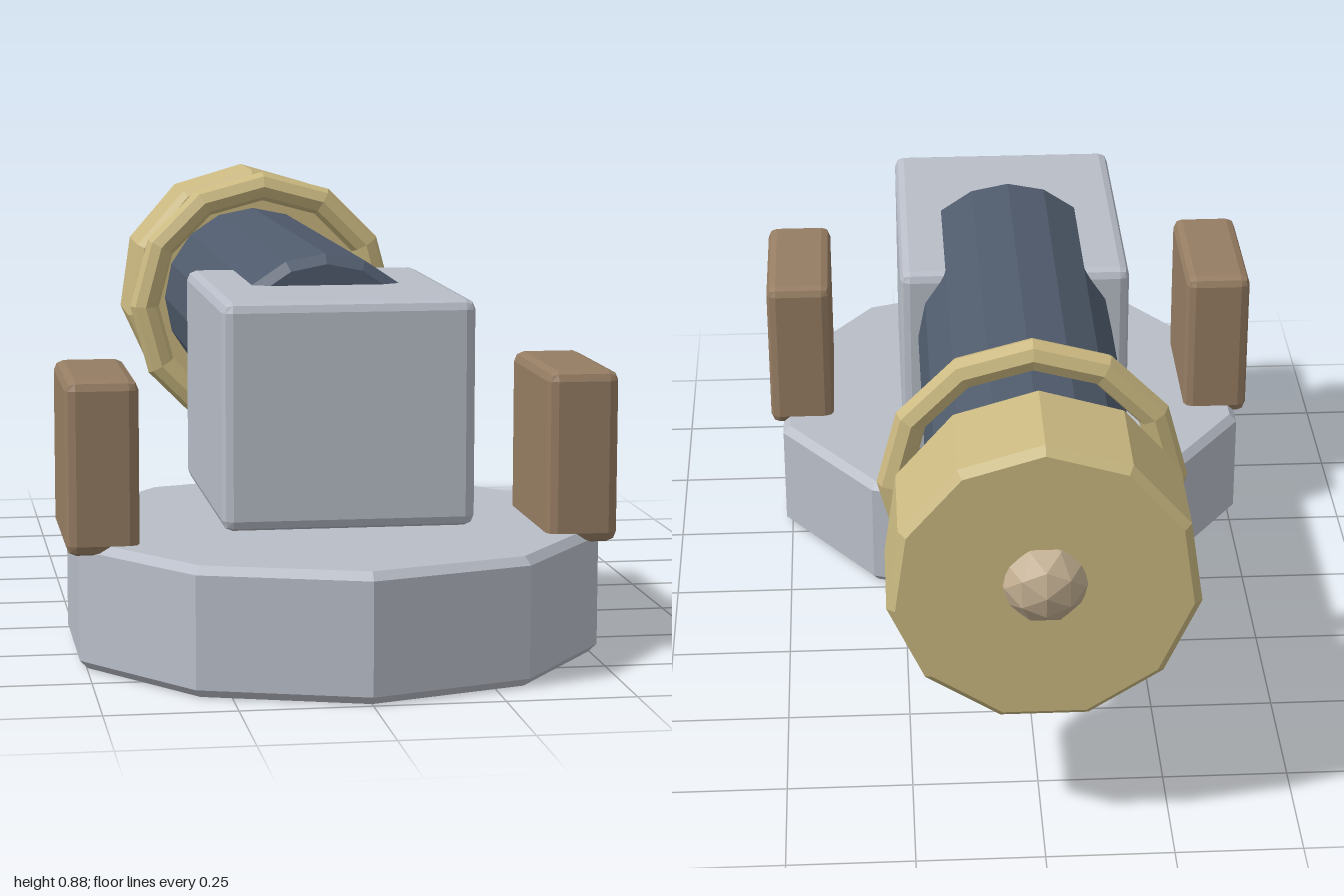
import * as THREE from 'three';
import { RoundedBoxGeometry } from 'three/addons/geometries/RoundedBoxGeometry.js';

const material = (name, color) => {
  const m = new THREE.MeshStandardMaterial({ color });
  m.name = name;
  return m;
};

// Facet a geometry so that every face keeps its own normal
function faceted(geometry) {
  const g = geometry.index ? geometry.toNonIndexed() : geometry;
  g.computeVertexNormals();
  return g;
}

// Many-sided drum with chamfered rims, standing on y = 0
function drum(radius, height, sides, bevel) {
  const profile = [
    [0, 0], [radius - bevel, 0], [radius, bevel],
    [radius, height - bevel], [radius - bevel, height], [0, height],
  ].map(([r, y]) => new THREE.Vector2(r, y));
  return faceted(new THREE.LatheGeometry(profile, sides));
}

// Chamfered box
const block = (w, h, d, bevel) => faceted(new RoundedBoxGeometry(w, h, d, 1, bevel));

export function createModel() {
  const model = new THREE.Group();
  model.name = 'model';
  const grey = material('pale grey metal', 0xb8bdc7);
  const slate = material('slate blue metal', 0x4f5b6c);
  const gold = material('brass', 0xcbb981);
  const brown = material('brown', 0x967d63);
  const tan = material('tan', 0xc4b093);
  const axisY = 0.573;

  const add = (name, geometry, mat, x, y, z) => {
    const mesh = new THREE.Mesh(geometry, mat);
    mesh.name = name;
    mesh.position.set(x, y, z);
    model.add(mesh);
    return mesh;
  };

  // Ten-sided base and the housing above it
  add('base', drum(0.54, 0.25, 10, 0.016), grey, 0, 0, 0.46);
  add('housing', block(0.49, 0.44, 0.64, 0.02), grey, 0, 0.5, 0.41);

  // Side blocks
  for (const side of [-1, 1]) {
    add(side > 0 ? 'leftBlock' : 'rightBlock', block(0.142, 0.34, 0.34, 0.02), brown, side * 0.47, 0.4, 0.51);
  }

  // Barrel and end cap point backwards
  add('barrel', drum(0.209, 1.2, 16, 0.02).rotateX(-Math.PI / 2), slate, 0, axisY, 0.435);
  add('endCap', drum(0.298, 0.24, 11, 0.016).rotateX(-Math.PI / 2), gold, 0, axisY, -0.708);

  // Loose ring around the barrel, and the knob on the cap
  add('ring', faceted(new THREE.TorusGeometry(0.274, 0.033, 8, 12)), gold, 0, axisY, -0.53);
  add('knob', faceted(new THREE.IcosahedronGeometry(0.09, 1)), tan, 0, 0.583, -0.91);

  return model;
}
